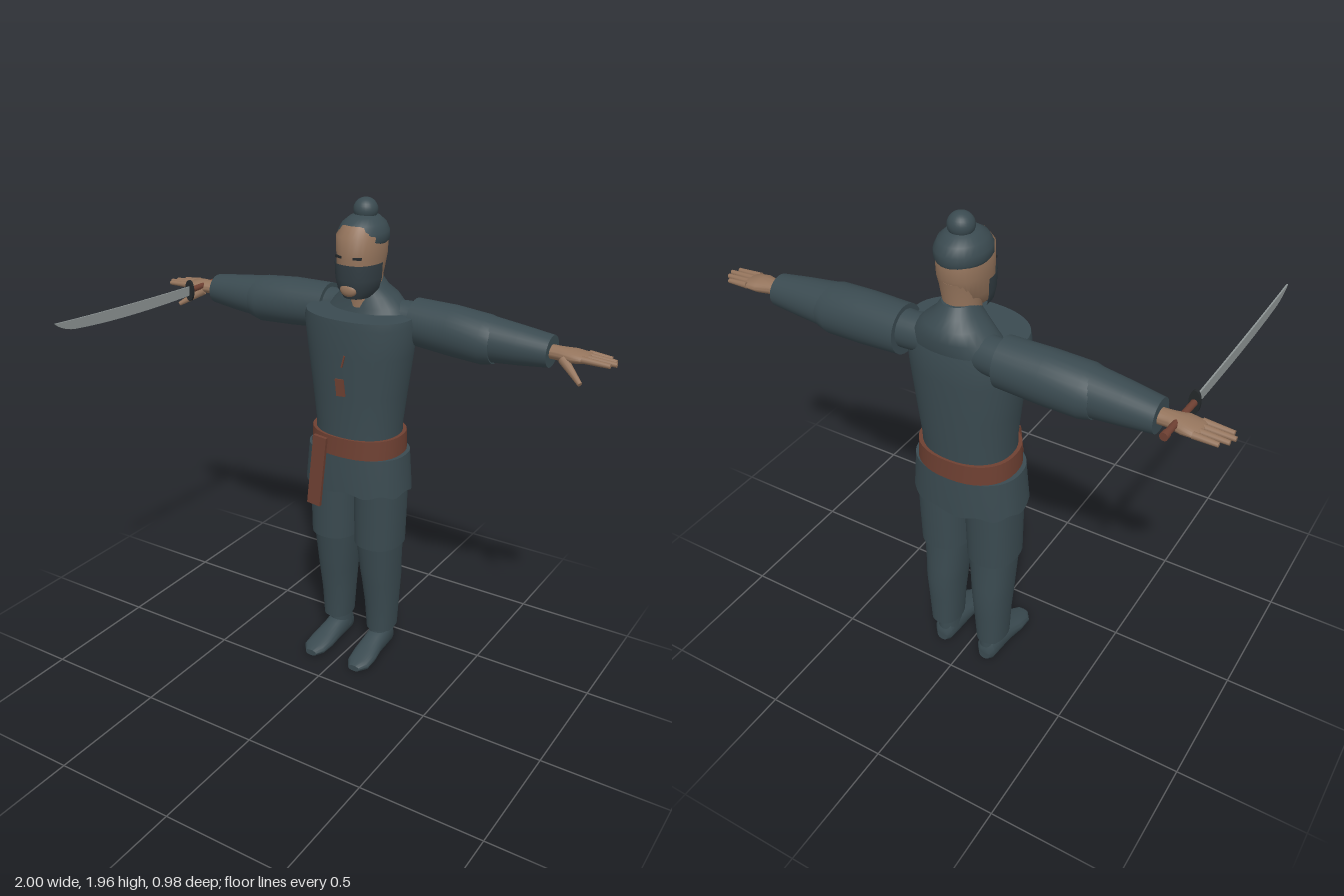
import * as THREE from 'three';
import { toCreasedNormals } from 'three/addons/utils/BufferGeometryUtils.js';

const mat = (name, color, side = THREE.FrontSide) => {
  const m = new THREE.MeshStandardMaterial({ color, side });
  m.name = name;
  return m;
};

// Skin over stacked superellipse rings [y, cx, cz, rx, rz]; wave ripples the first ring.
function loft(rings, { n = 28, power = 2, arc = Math.PI * 2, wave = 0 } = {}) {
  const pos = [], idx = [], w = n + 1;
  const bend = v => Math.sign(v) * Math.abs(v) ** (2 / power);
  rings.forEach(([y, cx, cz, rx, rz], j) => {
    for (let i = 0; i <= n; i++) {
      const a = (i / n) * arc;
      const dy = j === 0 ? wave * Math.sin(a * 9 + 1) : 0;
      pos.push(cx + rx * bend(Math.cos(a)), y + dy, cz + rz * bend(Math.sin(a)));
    }
  });
  for (let j = 0; j < rings.length - 1; j++) {
    for (let i = 0; i < n; i++) {
      const a = j * w + i, b = a + w;
      idx.push(a, b, a + 1, a + 1, b, b + 1);
    }
  }
  if (arc > 6) {
    const last = rings.length - 1;
    for (const j of [0, last]) {
      const c = pos.length / 3, [y, cx, cz] = rings[j];
      pos.push(cx, y, cz);
      for (let i = 0; i < n; i++) {
        const a = j * w + i;
        if (j) idx.push(c, a + 1, a); else idx.push(c, a, a + 1);
      }
    }
  }
  const g = new THREE.BufferGeometry();
  g.setAttribute('position', new THREE.Float32BufferAttribute(pos, 3));
  g.setIndex(idx);
  return toCreasedNormals(g, 0.75);
}

// Loft running outward along x on side s; rings are [x, y, z, ry, rz].
function armLoft(rings, s, opt) {
  return loft(rings.map(([x, y, z, ry, rz]) => [x, -s * y, z, ry, rz]), opt).rotateZ(-s * Math.PI / 2);
}

// Tapered rod between two points.
function rod(a, b, r1, r2, n = 10) {
  const p = new THREE.Vector3(...a), q = new THREE.Vector3(...b), d = q.clone().sub(p);
  const g = new THREE.CylinderGeometry(r2, r1, d.length(), n);
  g.applyQuaternion(new THREE.Quaternion().setFromUnitVectors(new THREE.Vector3(0, 1, 0), d.normalize()));
  return g.translate(...p.add(q).multiplyScalar(0.5).toArray());
}

const ellipsoid = (x, y, z, rx, ry, rz) =>
  new THREE.SphereGeometry(1, 24, 16).scale(rx, ry, rz).translate(x, y, z);

export function createModel() {
  const model = new THREE.Group();
  const cloth = mat('slate cloth', 0x3a4a50);
  const maskCloth = mat('mask cloth', 0x333e44, THREE.DoubleSide);
  const skin = mat('skin', 0x94745c);
  const leather = mat('red brown leather', 0x6e4032);
  const steel = mat('steel', 0x8b9292);
  const dark = mat('dark trim', 0x24282a);
  const add = (name, geometry, material, parent = model) => {
    const m = new THREE.Mesh(geometry, material);
    m.name = name;
    parent.add(m);
    return m;
  };

  // Torso and collar
  add('torso', loft([
    [0.98, 0, -0.305, 0.178, 0.145], [1.08, 0, -0.307, 0.178, 0.148], [1.22, 0, -0.307, 0.195, 0.156],
    [1.38, 0, -0.305, 0.217, 0.162], [1.50, 0, -0.302, 0.23, 0.164], [1.53, 0, -0.297, 0.222, 0.157],
  ], { n: 40, power: 2.2 }), cloth);
  add('collar', loft([
    [1.50, 0, -0.36, 0.19, 0.11], [1.55, 0, -0.372, 0.155, 0.107], [1.59, 0, -0.37, 0.115, 0.1],
    [1.62, 0, -0.357, 0.08, 0.082], [1.655, 0, -0.35, 0.058, 0.064],
  ]), cloth);

  // Belt, skirt and hanging sash
  add('belt', loft([[0.965, 0, -0.307, 0.195, 0.158], [1.045, 0, -0.307, 0.192, 0.156]], { n: 40, power: 2.3 }), leather);
  add('skirt', loft([
    [0.805, 0, -0.307, 0.226, 0.159], [0.88, 0, -0.307, 0.219, 0.158], [0.965, 0, -0.307, 0.212, 0.154],
  ], { n: 72, power: 2.3, wave: 0.008 }), cloth);
  const sash = add('sash', new THREE.BoxGeometry(0.06, 0.31, 0.015), leather);
  sash.position.set(-0.102, 0.88, -0.148);
  sash.rotation.z = -0.1;

  // Strap pieces on the chest
  const patch = add('strapPatch', new THREE.BoxGeometry(0.038, 0.07, 0.008), leather);
  patch.position.set(0.003, 1.26, -0.148);
  patch.rotation.set(0.03, 0, 0.1);
  const sliver = add('strapSliver', new THREE.BoxGeometry(0.006, 0.05, 0.006), leather);
  sliver.position.set(0.018, 1.37, -0.142);
  sliver.rotation.z = -0.25;

  // Head, mask, cap and bun
  add('neck', loft([[1.52, 0, -0.335, 0.07, 0.07], [1.65, 0, -0.333, 0.065, 0.069], [1.74, 0, -0.335, 0.075, 0.082]]), skin);
  add('head', loft([
    [1.60, 0, -0.245, 0.035, 0.03], [1.63, 0, -0.262, 0.064, 0.062], [1.68, 0, -0.295, 0.08, 0.102],
    [1.75, 0, -0.304, 0.086, 0.115], [1.83, 0, -0.305, 0.089, 0.116], [1.87, 0, -0.31, 0.07, 0.09],
  ], { power: 2.2 }), skin);
  add('mask', loft([
    [1.595, 0, -0.29, 0.05, 0.075], [1.63, 0, -0.302, 0.078, 0.104],
    [1.67, 0, -0.305, 0.087, 0.116], [1.73, 0, -0.305, 0.09, 0.119],
  ], { arc: Math.PI, power: 2.4 }), maskCloth);
  add('chin', ellipsoid(0, 1.633, -0.207, 0.036, 0.027, 0.018), skin);
  add('cap', loft([
    [1.80, 0, -0.313, 0.088, 0.108], [1.812, 0, -0.313, 0.095, 0.113], [1.84, 0, -0.313, 0.094, 0.112],
    [1.87, 0, -0.315, 0.08, 0.095], [1.892, 0, -0.318, 0.055, 0.065], [1.903, 0, -0.32, 0.02, 0.025],
  ]), cloth);
  add('bun', ellipsoid(0, 1.915, -0.325, 0.047, 0.045, 0.047), cloth);

  for (const s of [1, -1]) {
    const side = s > 0 ? 'left' : 'right';

    // Eyes and brows
    const eye = add(side + 'Eye', new THREE.BoxGeometry(0.034, 0.009, 0.008), dark);
    eye.position.set(s * 0.04, 1.757, -0.199);
    eye.rotation.y = s * 0.3;

    // Sleeves
    const arm = new THREE.Group();
    arm.name = side + 'Arm';
    model.add(arm);
    add('shoulder', armLoft([[0.1, 1.5, -0.38, 0.07, 0.07], [0.16, 1.5, -0.39, 0.07, 0.065], [0.22, 1.5, -0.39, 0.07, 0.07]], s), cloth, arm);
    add('upperSleeve', armLoft([
      [0.195, 1.495, -0.39, 0.092, 0.09], [0.36, 1.488, -0.385, 0.098, 0.094], [0.5, 1.48, -0.378, 0.095, 0.097], [0.54, 1.48, -0.378, 0.085, 0.086],
    ], s), cloth, arm);
    add('lowerSleeve', armLoft([
      [0.5, 1.485, -0.378, 0.088, 0.088], [0.64, 1.482, -0.38, 0.074, 0.075], [0.755, 1.48, -0.383, 0.06, 0.063],
    ], s), cloth, arm);

    // Hands
    add('palm', armLoft([
      [0.74, 1.48, -0.383, 0.026, 0.032], [0.79, 1.48, -0.381, 0.026, 0.034],
      [0.84, 1.48, -0.382, 0.026, 0.05], [0.89, 1.48, -0.386, 0.017, 0.05], [0.9, 1.48, -0.386, 0.01, 0.044],
    ], s), skin, arm);
    [[-0.426, 0.965], [-0.4, 0.99], [-0.373, 1.0], [-0.347, 0.985]].forEach(([z, tip], i) => {
      add('finger' + (i + 1), rod([s * 0.88, 1.483, z], [s * tip, 1.478, z], 0.013, 0.009), skin, arm);
    });
    add('thumb', rod([s * 0.81, 1.47, -0.35], [s * 0.9, 1.41, -0.295], 0.019, 0.009), skin, arm);

    // Trousers
    const leg = new THREE.Group();
    leg.name = side + 'Leg';
    model.add(leg);
    const legLoft = rings => loft(rings.map(([y, x, ...r]) => [y, s * x, ...r]), { power: 2.3 });
    add('thigh', legLoft([
      [0.55, 0.104, -0.313, 0.098, 0.113], [0.7, 0.104, -0.312, 0.1, 0.119], [0.85, 0.104, -0.31, 0.1, 0.124],
    ]), cloth, leg);
    add('shin', legLoft([
      [0.12, 0.108, -0.343, 0.059, 0.075], [0.25, 0.107, -0.34, 0.067, 0.083], [0.36, 0.106, -0.333, 0.075, 0.096],
      [0.42, 0.104, -0.326, 0.08, 0.098], [0.57, 0.102, -0.313, 0.09, 0.107],
    ]), cloth, leg);

    // Shoes
    add('ankle', legLoft([[0.05, 0.1, -0.345, 0.043, 0.06], [0.15, 0.1, -0.345, 0.037, 0.056]]), cloth, leg);
    add('shoe', loft([
      [-0.407, 0, -0.04, 0.024, 0.028], [-0.39, 0, -0.053, 0.04, 0.05], [-0.33, 0, -0.058, 0.046, 0.056],
      [-0.27, 0.001, -0.047, 0.047, 0.045], [-0.2, 0.005, -0.034, 0.054, 0.032],
      [-0.14, 0.008, -0.025, 0.05, 0.023], [-0.105, 0.006, -0.02, 0.026, 0.013],
    ].map(([z, x, ...r]) => [z, s * (0.102 + x), ...r]), { power: 2.3 }).rotateX(Math.PI / 2), cloth, leg);
  }

  // Curved sword in the right hand, running forward
  const sword = new THREE.Group();
  sword.name = 'sword';
  sword.position.set(-0.82, 0, -0.27);
  sword.rotation.y = -0.033;
  model.add(sword);
  const profile = new THREE.Shape();
  profile.moveTo(0, 1.467);
  profile.quadraticCurveTo(0.4, 1.463, 0.67, 1.497);
  profile.quadraticCurveTo(0.73, 1.51, 0.76, 1.54);
  profile.quadraticCurveTo(0.4, 1.515, 0, 1.505);
  const blade = new THREE.ExtrudeGeometry(profile, { depth: 0.006, bevelEnabled: false, curveSegments: 16 });
  add('blade', blade.translate(0, 0, -0.003).rotateY(-Math.PI / 2), steel, sword);
  add('guard', new THREE.CylinderGeometry(1, 1, 0.012, 24).rotateX(Math.PI / 2).scale(0.02, 0.045, 1).translate(0, 1.487, 0), dark, sword);
  add('grip', rod([0, 1.487, 0], [0, 1.492, -0.21], 0.012, 0.012, 14), leather, sword);
  add('pommel', rod([0, 1.492, -0.2], [0, 1.492, -0.222], 0.015, 0.015, 14), leather, sword);

  return model;
}
